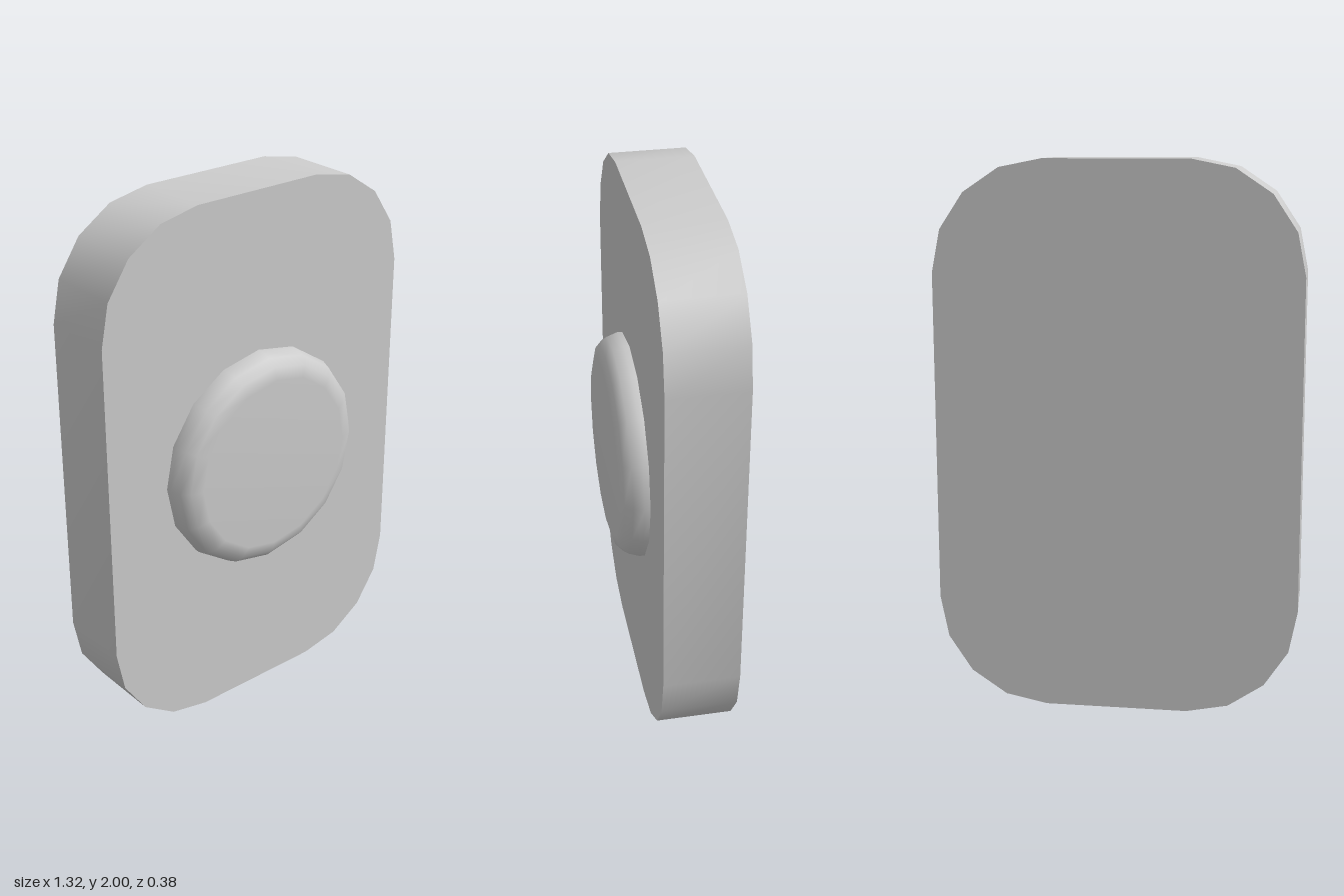
import * as THREE from 'three';
import { toCreasedNormals } from 'three/addons/utils/BufferGeometryUtils.js';

export function createModel() {
  const model = new THREE.Group();
  model.name = 'wallButton';
  const grey = new THREE.MeshStandardMaterial({ name: 'lightGrey', color: 0xcccccc });

  // Upright plate with rounded corners, four facets each
  const halfW = 0.66, halfH = 1, r = 0.4, steps = 4;
  const outline = [];
  [[1, 1], [-1, 1], [-1, -1], [1, -1]].forEach(([sx, sy], corner) => {
    for (let i = 0; i <= steps; i++) {
      const a = (corner + i / steps) * Math.PI / 2;
      outline.push(new THREE.Vector2(
        sx * (halfW - r) + r * Math.cos(a),
        sy * (halfH - r) + r * Math.sin(a)
      ));
    }
  });
  const plateGeometry = new THREE.ExtrudeGeometry(new THREE.Shape(outline), { depth: 0.28, bevelEnabled: false });
  const plate = new THREE.Mesh(toCreasedNormals(plateGeometry, 0.6), grey);
  plate.name = 'plate';
  plate.position.set(0, 1, -0.19);
  model.add(plate);

  // Round push button with a softened rim, seated in the plate
  const profile = [
    [0.416, -0.01], [0.416, 0.02], [0.403, 0.058], [0.375, 0.085], [0.33, 0.098], [0, 0.098]
  ].map(([x, y]) => new THREE.Vector2(x, y));
  const button = new THREE.Mesh(new THREE.LatheGeometry(profile, 16), grey);
  button.name = 'button';
  button.rotation.x = Math.PI / 2;
  button.position.set(0, 1, 0.09);
  model.add(button);

  return model;
}
